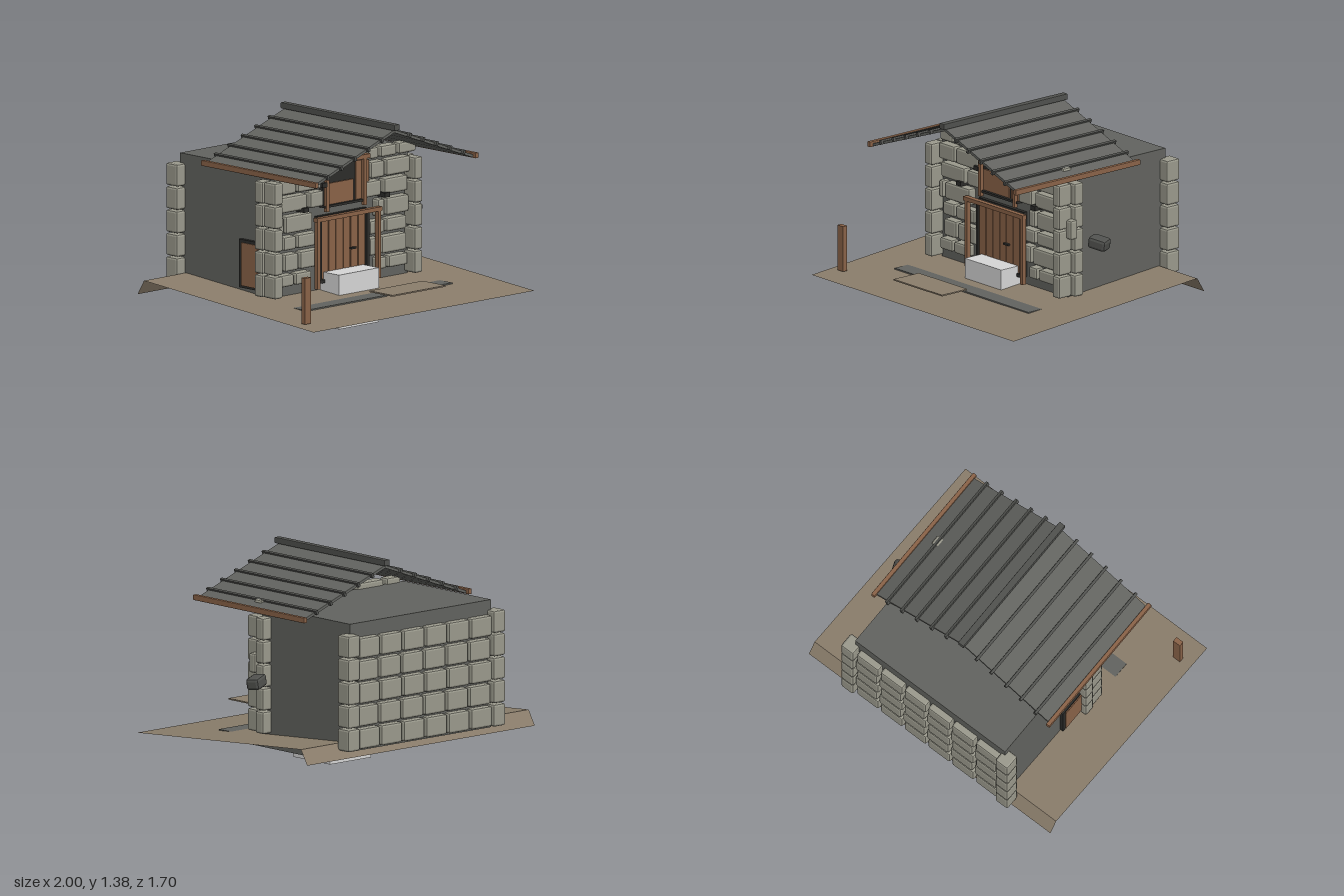
import * as THREE from 'three';
import { RoundedBoxGeometry } from 'three/addons/geometries/RoundedBoxGeometry.js';

const material = (name, color, side = THREE.FrontSide) => {
  const m = new THREE.MeshStandardMaterial({ color, side });
  m.name = name;
  return m;
};

export function createModel() {
  const model = new THREE.Group();
  model.name = 'stoneCabin';

  const stone = material('pale stone', 0x9a998c);
  const slate = material('grey slate', 0x62635f);
  const wood = material('brown wood', 0x8a6348);
  const dark = material('dark iron', 0x2c2c2a);
  const earth = material('earth', 0x8a7d6b, THREE.DoubleSide);
  const white = material('white block', 0xd6d6d6);
  const rockGrey = material('dark rock', 0x50514e);

  const group = (name) => {
    const g = new THREE.Group();
    g.name = name;
    model.add(g);
    return g;
  };
  const add = (parent, name, geometry, mat) => {
    const mesh = new THREE.Mesh(geometry, mat);
    mesh.name = name;
    parent.add(mesh);
    return mesh;
  };
  // Box given by its extents on each axis
  const box = (parent, name, mat, [x0, x1], [y0, y1], [z0, z1]) => {
    const mesh = add(parent, name, new THREE.BoxGeometry(x1 - x0, y1 - y0, z1 - z0), mat);
    mesh.position.set((x0 + x1) / 2, (y0 + y1) / 2, (z0 + z1) / 2);
    return mesh;
  };
  // Chamfered block with flat facets
  const block = (parent, name, mat, [x0, x1], [y0, y1], [z0, z1], r = 0.014) => {
    const geometry = new RoundedBoxGeometry(x1 - x0, y1 - y0, z1 - z0, 1, r);
    geometry.computeVertexNormals();
    const mesh = add(parent, name, geometry, mat);
    mesh.position.set((x0 + x1) / 2, (y0 + y1) / 2, (z0 + z1) / 2);
    return mesh;
  };

  // Ground: tilted sheet with a folded-down back edge
  const profile = [[0.18, 0.85], [0.298, -0.73], [0.2, -0.79]];
  const ground = new THREE.BufferGeometry();
  const points = [];
  for (let i = 0; i < 2; i++) {
    const [ya, za] = profile[i], [yb, zb] = profile[i + 1];
    points.push(-1, ya, za, 1, ya, za, 1, yb, zb, -1, ya, za, 1, yb, zb, -1, yb, zb);
  }
  ground.setAttribute('position', new THREE.Float32BufferAttribute(points, 3));
  ground.computeVertexNormals();
  add(model, 'ground', ground, earth);
  box(model, 'doorMat', earth, [-0.24, 0.24], [0.305, 0.314], [0.59, 0.805]);
  box(model, 'foundationSlab', slate, [-0.665, 0.665], [0.165, 0.22], [-0.44, 0.43]);
  box(model, 'doorStep', white, [-0.18, 0.18], [0, 0.36], [-0.11, 0.245]);
  box(model, 'post', wood, [-0.925, -0.87], [0.2, 0.505], [0.66, 0.695]);

  // House body
  box(model, 'walls', slate, [-0.62, 0.62], [0.24, 1.085], [-0.785, 0.06]);

  // Corner stones
  const corners = group('cornerStones');
  for (let i = 0; i < 5; i++) {
    const y = [0.253 + i * 0.155, 0.4 + i * 0.155];
    for (const s of [-1, 1]) {
      const span = (a, b) => (s > 0 ? [a, b] : [-b, -a]);
      block(corners, 'backCornerStone', stone, span(0.588, 0.69), y, [-0.85, -0.74]);
      block(corners, 'sideCornerStone', stone, span(0.6, 0.69), y, [-0.025, 0.055]);
      block(corners, 'frontCornerStone', stone, s > 0 ? [0.588, 0.66] : [-0.68, -0.605], y, [0.055, 0.162]);
    }
  }
  block(corners, 'looseCornerStone', stone, [0.645, 0.705], [0.65, 0.78], [0.04, 0.1]);

  // Front stones: bottom, top, then left and right ends of each stone
  const rows = [
    [1.05, 1.125, [[-0.58, -0.46], [-0.43, -0.2], [0.2, 0.305], [0.33, 0.47], [0.49, 0.645]]],
    [0.92, 1.03, [[-0.59, -0.44], [-0.42, -0.19], [0.24, 0.36], [0.38, 0.59]]],
    [0.8, 0.905, [[-0.57, -0.34], [-0.31, -0.19], [0.2, 0.33], [0.36, 0.57]]],
    [0.66, 0.775, [[-0.59, -0.55], [-0.53, -0.29], [0.3, 0.36], [0.38, 0.58]]],
    [0.55, 0.64, [[-0.55, -0.44], [-0.42, -0.24], [0.23, 0.36], [0.38, 0.56]]],
    [0.41, 0.525, [[-0.54, -0.42], [-0.4, -0.22], [0.23, 0.32], [0.34, 0.56]]],
    [0.31, 0.39, [[-0.58, -0.46], [-0.44, -0.3], [0.3, 0.38], [0.4, 0.57]]],
  ];
  const front = group('frontStones');
  for (const [y0, y1, spans] of rows)
    for (const span of spans) block(front, 'frontStone', stone, span, [y0, y1], [0.04, 0.115]);

  // Back stones: regular courses
  const back = group('backStones');
  for (let r = 0; r < 5; r++)
    for (let c = 0; c < 6; c++) {
      const x = -0.59 + c * 0.197 + (r % 2) * 0.012;
      const y = 0.255 + r * 0.15;
      block(back, 'backStone', stone, [x, x + 0.18], [y, y + 0.135], [-0.83, -0.75]);
    }

  // Roof: two thin slopes, battens, ridge and eave beams
  const roof = group('roof');
  const run = 0.71, rise = 0.262;
  const pitch = Math.atan2(rise, run);
  for (const s of [-1, 1]) {
    const slope = add(roof, 'roofSlope', new THREE.BoxGeometry(Math.hypot(run, rise), 0.018, 1.02), slate);
    slope.position.set(s * run / 2, 1.335 - rise / 2, 0.065);
    slope.rotation.z = -s * pitch;
    for (let i = 1; i <= 5; i++) {
      const x = 0.122 * i + 0.004;
      const batten = add(roof, 'batten', new THREE.BoxGeometry(0.018, 0.03, 1.06), rockGrey);
      batten.position.set(s * x, 1.341 - x * rise / run, 0.065);
      batten.rotation.z = -s * pitch;
    }
    block(roof, 'eaveBeam', wood, s > 0 ? [0.71, 0.738] : [-0.738, -0.71], [1.06, 1.096], [-0.47, 0.6], 0.004);
  }
  block(roof, 'ridgeBeam', rockGrey, [-0.023, 0.023], [1.342, 1.382], [-0.465, 0.6], 0.005);
  block(roof, 'roofPebble', stone, [0.58, 0.64], [1.1, 1.125], [0.045, 0.088], 0.008);

  // Front door with planks, iron frame and timber surround
  const door = group('frontDoor');
  box(door, 'doorBacking', dark, [-0.225, 0.225], [0.29, 0.73], [0.05, 0.085]);
  for (let i = 0; i < 6; i++) {
    const x = -0.2 + i * 0.067;
    box(door, 'doorPlank', wood, [x, x + 0.06], [0.315, 0.7], [0.08, 0.1]);
  }
  for (const x of [-0.225, 0.205]) box(door, 'doorJamb', dark, [x, x + 0.02], [0.29, 0.725], [0.08, 0.11]);
  box(door, 'doorLintel', dark, [-0.225, 0.225], [0.7, 0.725], [0.08, 0.112]);
  box(door, 'doorSill', dark, [-0.225, 0.225], [0.29, 0.312], [0.08, 0.112]);
  box(door, 'doorHandle', dark, [0.055, 0.1], [0.48, 0.492], [0.1, 0.12]);
  for (const x of [-0.288, 0.262]) box(door, 'surroundPost', wood, [x, x + 0.026], [0.265, 0.72], [0.125, 0.155]);
  box(door, 'surroundBeam', wood, [-0.295, 0.295], [0.71, 0.737], [0.125, 0.16]);

  // Upper window with timber frame and open shutter
  const window = group('upperWindow');
  box(window, 'windowOpening', dark, [-0.18, 0.12], [0.79, 1.06], [0.05, 0.09]);
  box(window, 'windowPanel', wood, [-0.163, 0.09], [0.8, 0.94], [0.085, 0.1]);
  box(window, 'shutter', wood, [0.112, 0.232], [0.8, 1.055], [0.05, 0.1]);
  box(window, 'windowLedge', dark, [-0.185, 0.19], [0.785, 0.8], [0.06, 0.12]);
  for (const x of [-0.182, 0.158]) box(window, 'windowPost', wood, [x, x + 0.024], [0.76, 1.08], [0.105, 0.13]);
  box(window, 'windowBeam', wood, [-0.21, 0.21], [1.068, 1.096], [0.1, 0.135]);

  // Small iron brackets on the front
  for (const [x, y] of [[-0.37, 0.8], [0.365, 0.8], [-0.2, 0.942]])
    box(model, 'bracket', dark, [x - 0.022, x + 0.022], [y - 0.015, y + 0.015], [0.06, 0.135]);

  // Side door on the right-hand wall
  const side = group('sideDoor');
  box(side, 'sideDoorFrame', dark, [-0.645, -0.61], [0.28, 0.6], [-0.21, 0.005]);
  box(side, 'sideDoorPanel', wood, [-0.652, -0.64], [0.295, 0.58], [-0.185, -0.01]);

  // Rock hanging beside the left wall
  const rock = block(model, 'looseRock', rockGrey, [0.72, 0.85], [0.585, 0.665], [-0.115, -0.02], 0.02);
  rock.position.set(0.79, 0.622, -0.07);
  rock.rotation.set(0.1, 0.35, -0.2);

  return model;
}
